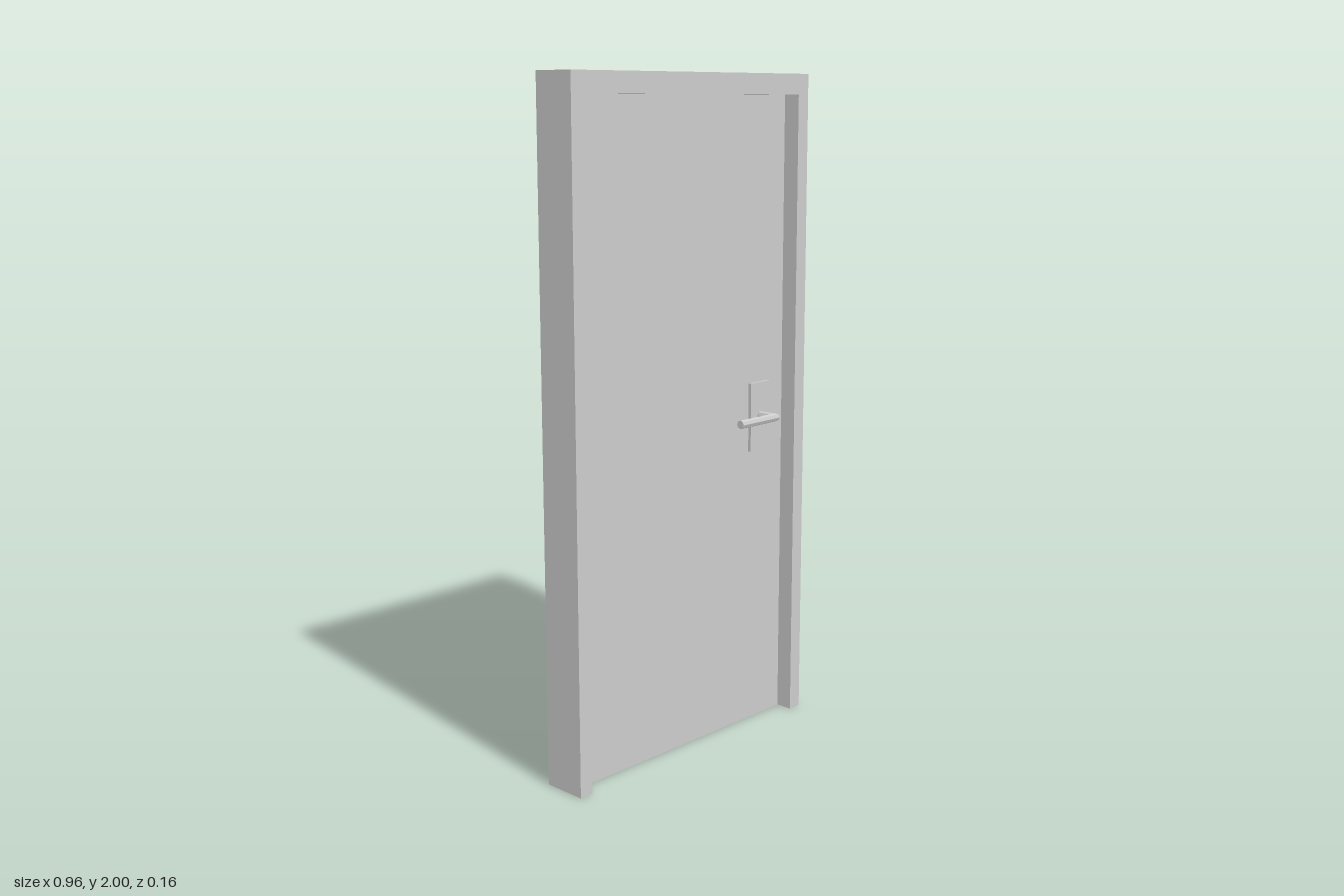
import * as THREE from 'three';

const HALF_W = 0.48, HEIGHT = 2, BACK = -0.082, FRONT = 0.053;
const OPEN_HALF = 0.436, OPEN_TOP = 1.94;

const solid = new THREE.MeshStandardMaterial({ color: 0xcccccc, flatShading: true });
const sheet = new THREE.MeshStandardMaterial({ color: 0xcccccc, flatShading: true, side: THREE.DoubleSide });

// Joins successive cross-sections with flat faces; closed rings get a cap at the start
function loft(rings, closed) {
  const pos = [];
  const tri = (...pts) => pts.forEach((p) => pos.push(...p));
  const n = rings[0].length;
  const spans = closed ? n : n - 1;
  for (let j = 0; j < spans; j++) {
    const k = (j + 1) % n;
    for (let i = 0; i < rings.length - 1; i++) {
      const a = rings[i], b = rings[i + 1];
      tri(a[j], b[j], b[k]);
      tri(a[j], b[k], a[k]);
    }
    if (closed && j > 0 && j < n - 1) tri(rings[0][0], rings[0][j], rings[0][k]);
  }
  const geo = new THREE.BufferGeometry();
  geo.setAttribute('position', new THREE.Float32BufferAttribute(pos, 3));
  geo.computeVertexNormals();
  return geo;
}

function addMesh(parent, name, geometry, material, x = 0, y = 0, z = 0) {
  const mesh = new THREE.Mesh(geometry, material);
  mesh.name = name;
  mesh.position.set(x, y, z);
  parent.add(mesh);
  return mesh;
}

export function createModel() {
  const door = new THREE.Group();
  door.name = 'door';

  // Folded sheet frame: jamb return, front face, outer wall, open at the back
  const profile = [[1, 0], [1, FRONT], [0, FRONT], [0, BACK]];
  const path = [[-1, 0], [-1, 1], [1, 1], [1, 0]];
  const frameRings = path.map(([side, up]) => profile.map(([inset, z]) => [
    side * (inset ? OPEN_HALF : HALF_W),
    up * (inset ? OPEN_TOP : HEIGHT),
    z,
  ]));
  addMesh(door, 'doorFrame', loft(frameRings, false), sheet);

  // Thin door leaf at the back edge of the jamb
  addMesh(door, 'doorLeaf', new THREE.PlaneGeometry(OPEN_HALF * 2, OPEN_TOP), sheet, 0, OPEN_TOP / 2, 0);

  // Handle: backplate and a mitred octagonal lever
  const handle = new THREE.Group();
  handle.name = 'handle';
  door.add(handle);
  addMesh(handle, 'backplate', new THREE.BoxGeometry(0.085, 0.212, 0.01), solid, 0.324, 0.974, 0.005);

  const r = 0.013, cy = 0.977, cz = 0.066, neckX = 0.325;
  const ring = (point) => Array.from({ length: 8 }, (_, i) => {
    const a = (i / 8) * Math.PI * 2;
    return point(r * Math.cos(a), cy + r * Math.sin(a));
  });
  const leverRings = [
    ring((d, y) => [0.17, y, cz + d]),
    ring((d, y) => [neckX + d, y, cz + d]),
    ring((d, y) => [neckX + d, y, 0.01]),
  ];
  addMesh(handle, 'lever', loft(leverRings, true), solid);

  return door;
}
